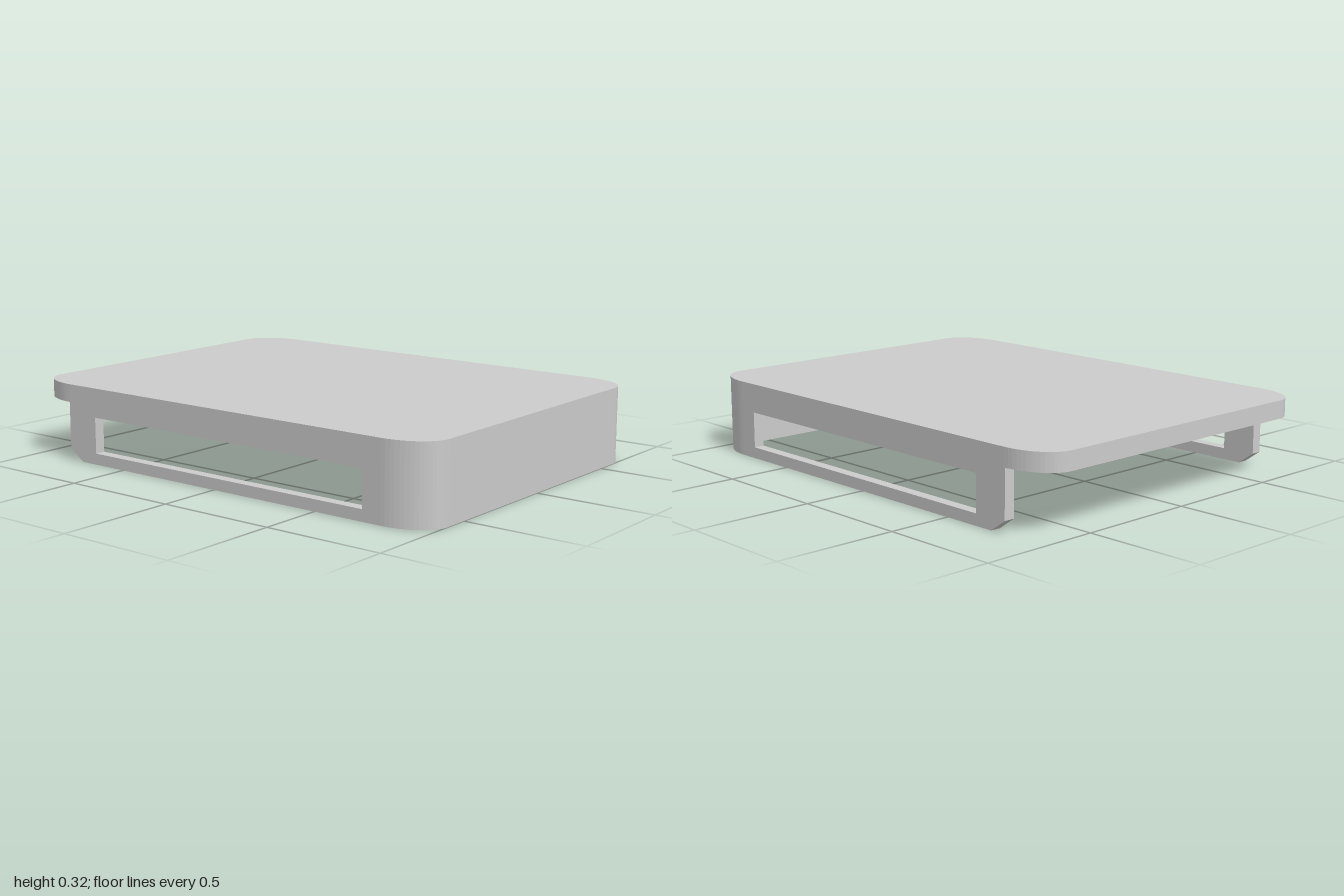
import * as THREE from 'three';

const W = 1, D = 0.735;          // half width and half depth
const RX = 0.2, RZ = 0.135;      // corner radii
const T = 0.045;                 // wall thickness
const PLATE_Y = 0.245, TOP_Y = 0.32;

const material = new THREE.MeshStandardMaterial({ color: 0xcccccc });

function addMesh(group, name, geometry) {
  const mesh = new THREE.Mesh(geometry, material);
  mesh.name = name;
  group.add(mesh);
  return mesh;
}

// Extrudes a plan outline upward from y0 to y1
function extrudeUp(shape, y0, y1) {
  const geometry = new THREE.ExtrudeGeometry(shape, { depth: y1 - y0, bevelEnabled: false, curveSegments: 8 });
  return geometry.rotateX(-Math.PI / 2).translate(0, y0, 0);
}

function plateOutline() {
  const s = new THREE.Shape();
  const cx = W - RX, cz = D - RZ, q = Math.PI / 2;
  s.moveTo(W, -cz);
  s.absellipse(cx, cz, RX, RZ, 0, q, false);
  s.absellipse(-cx, cz, RX, RZ, q, 2 * q, false);
  s.absellipse(-cx, -cz, RX, RZ, 2 * q, 3 * q, false);
  s.absellipse(cx, -cz, RX, RZ, 3 * q, 4 * q, false);
  return s;
}

// Closed end: one wall with both rounded corners
function endOutline() {
  const s = new THREE.Shape();
  const cx = W - RX, cz = D - RZ, q = Math.PI / 2;
  s.moveTo(cx, -D);
  s.absellipse(cx, -cz, RX, RZ, -q, 0, false);
  s.absellipse(cx, cz, RX, RZ, 0, q, false);
  s.lineTo(cx, D - T);
  s.absellipse(cx, cz, RX - T, RZ - T, q, 0, true);
  s.absellipse(cx, -cz, RX - T, RZ - T, 0, -q, true);
  s.closePath();
  return s;
}

// Long wall with a chamfered free end and a long slot
function wallGeometry() {
  const s = new THREE.Shape();
  s.moveTo(-0.735, 0);
  s.lineTo(W - RX, 0);
  s.lineTo(W - RX, PLATE_Y);
  s.lineTo(-0.805, PLATE_Y);
  s.lineTo(-0.805, 0.05);
  s.closePath();
  const slot = new THREE.Path();
  slot.moveTo(-0.655, 0.047);
  slot.lineTo(-0.655, 0.198);
  slot.lineTo(0.72, 0.198);
  slot.lineTo(0.72, 0.047);
  slot.closePath();
  s.holes.push(slot);
  return new THREE.ExtrudeGeometry(s, { depth: T, bevelEnabled: false });
}

export function createModel() {
  const group = new THREE.Group();
  group.name = 'slottedCover';

  addMesh(group, 'topPlate', extrudeUp(plateOutline(), PLATE_Y, TOP_Y));
  addMesh(group, 'endWall', extrudeUp(endOutline(), 0, PLATE_Y));

  const wall = wallGeometry();
  addMesh(group, 'frontWall', wall).position.z = D - T;
  addMesh(group, 'backWall', wall).position.z = -D;

  return group;
}
